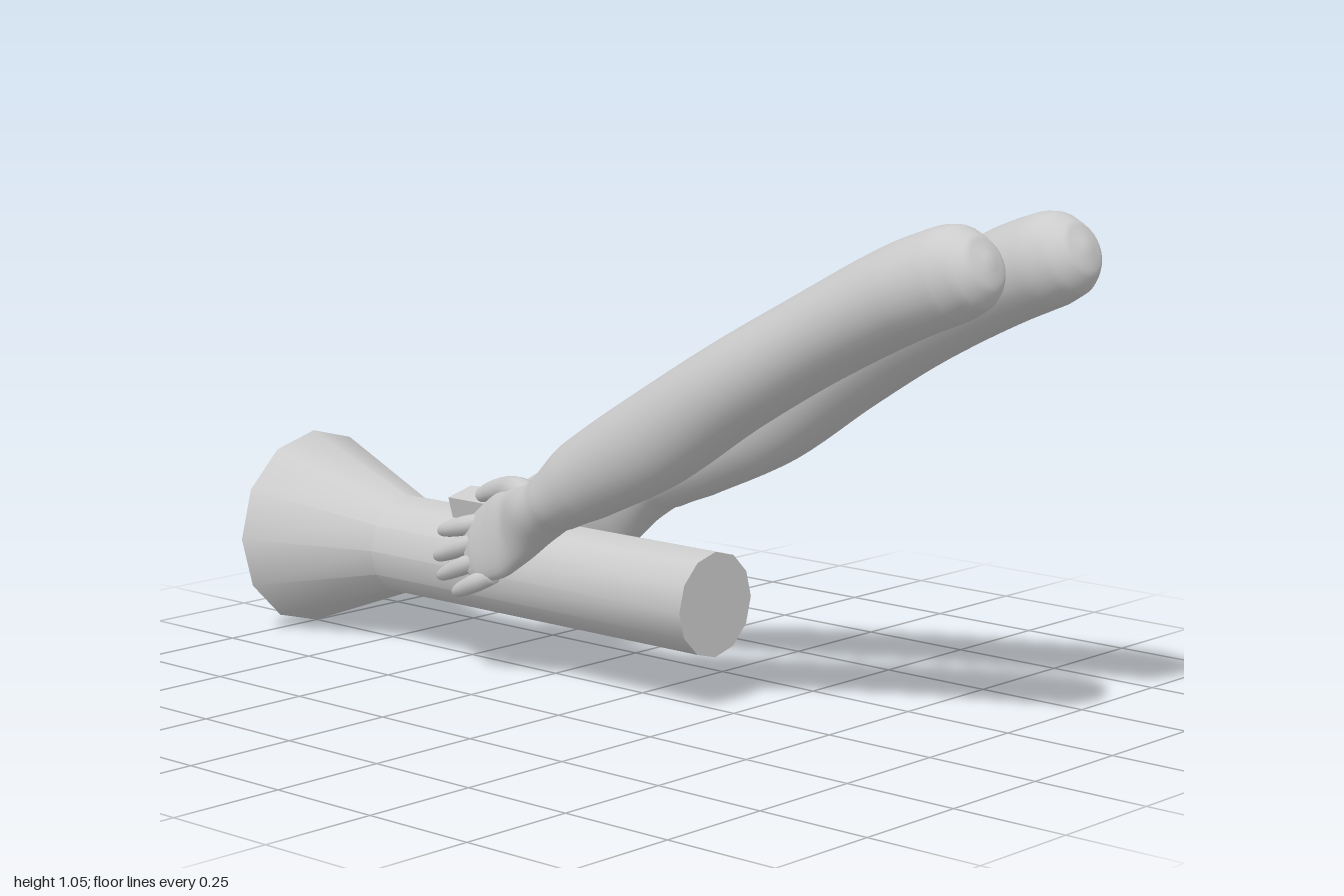
import * as THREE from 'three';
import { toCreasedNormals } from 'three/addons/utils/BufferGeometryUtils.js';

const material = new THREE.MeshStandardMaterial({ color: 0xcccccc });

function addMesh(parent, name, geometry) {
  const mesh = new THREE.Mesh(geometry, material);
  mesh.name = name;
  parent.add(mesh);
}

// Smooth loft through elliptical sections [x, y, z, halfHeight, halfWidth, roll].
// mirror = -1 reflects the result across the z = 0 plane.
function loft(sections, steps, sides, mirror) {
  const path = new THREE.CatmullRomCurve3(sections.map(s => new THREE.Vector3(s[0], s[1], s[2])));
  const size = new THREE.CatmullRomCurve3(sections.map(s => new THREE.Vector3(s[3], s[4], s[5] || 0)));
  const positions = [], indices = [];
  const push = p => positions.push(p.x, p.y, p.z * mirror);
  const tri = (a, b, c) => (mirror > 0 ? indices.push(a, b, c) : indices.push(a, c, b));
  for (let j = 0; j <= steps; j++) {
    const t = j / steps, c = path.getPoint(t), r = size.getPoint(t), T = path.getTangent(t);
    const U = new THREE.Vector3(0, 1, 0).addScaledVector(T, -T.y).normalize().applyAxisAngle(T, r.z);
    const W = new THREE.Vector3().crossVectors(T, U);
    for (let i = 0; i < sides; i++) {
      const a = (i / sides) * Math.PI * 2;
      push(c.clone().addScaledVector(U, Math.cos(a) * r.x).addScaledVector(W, Math.sin(a) * r.y));
    }
  }
  for (let j = 0; j < steps; j++) {
    for (let i = 0; i < sides; i++) {
      const a = j * sides + i, b = j * sides + (i + 1) % sides;
      tri(a, b, a + sides);
      tri(b, b + sides, a + sides);
    }
  }
  // end caps
  const last = steps * sides, c0 = positions.length / 3, c1 = c0 + 1;
  push(path.getPoint(0));
  push(path.getPoint(1));
  for (let i = 0; i < sides; i++) {
    const n = (i + 1) % sides;
    tri(c0, n, i);
    tri(c1, last + i, last + n);
  }
  const geometry = new THREE.BufferGeometry();
  geometry.setAttribute('position', new THREE.Float32BufferAttribute(positions, 3));
  geometry.setIndex(indices);
  geometry.computeVertexNormals();
  return geometry;
}

// Rounded finger from base to tip, slightly bowed outward.
function finger(base, tip, radius, mirror) {
  const at = (t, k) => [
    base[0] + (tip[0] - base[0]) * t,
    base[1] + (tip[1] - base[1]) * t,
    base[2] + (tip[2] - base[2]) * t + 0.008 * Math.sin(Math.PI * t),
    radius * k, radius * k,
  ];
  return loft([at(0, 0.9), at(0.35, 1), at(0.7, 0.85), at(0.9, 0.66), at(0.97, 0.42), at(1, 0.08)], 20, 12, mirror);
}

function buildArm(name, mirror) {
  const arm = new THREE.Group();
  arm.name = name;
  // upper arm, forearm, wrist and palm
  addMesh(arm, 'armAndPalm', loft([
    [0.988, 0.995, 0.15, 0.01, 0.01],
    [0.978, 0.99, 0.15, 0.052, 0.05],
    [0.95, 0.978, 0.15, 0.08, 0.075],
    [0.90, 0.962, 0.15, 0.092, 0.092],
    [0.80, 0.922, 0.155, 0.093, 0.1],
    [0.60, 0.82, 0.16, 0.09, 0.1],
    [0.40, 0.705, 0.173, 0.093, 0.097],
    [0.20, 0.58, 0.175, 0.099, 0.091],
    [0.0, 0.472, 0.166, 0.086, 0.085],
    [-0.08, 0.42, 0.164, 0.067, 0.077],
    [-0.14, 0.384, 0.163, 0.064, 0.064, 0.1],
    [-0.21, 0.345, 0.152, 0.083, 0.043, 0.25],
    [-0.28, 0.31, 0.145, 0.091, 0.032, 0.3],
    [-0.335, 0.282, 0.14, 0.078, 0.024, 0.3],
    [-0.365, 0.267, 0.138, 0.055, 0.015, 0.3],
    [-0.375, 0.262, 0.137, 0.01, 0.004, 0.3],
  ], 90, 28, mirror));
  // four fingers, index to little
  const fingers = [
    ['indexFinger', [-0.33, 0.335, 0.122], [-0.472, 0.295, 0.122], 0.021],
    ['middleFinger', [-0.33, 0.298, 0.135], [-0.482, 0.238, 0.125], 0.021],
    ['ringFinger', [-0.31, 0.265, 0.147], [-0.462, 0.2, 0.135], 0.02],
    ['littleFinger', [-0.27, 0.235, 0.162], [-0.395, 0.178, 0.155], 0.02],
  ];
  for (const [label, base, tip, radius] of fingers) addMesh(arm, label, finger(base, tip, radius, mirror));
  // thumb reaching over toward the button
  addMesh(arm, 'thumb', loft([
    [-0.17, 0.395, 0.145, 0.035, 0.035],
    [-0.24, 0.405, 0.115, 0.034, 0.032],
    [-0.31, 0.4, 0.088, 0.027, 0.024],
    [-0.36, 0.388, 0.077, 0.022, 0.02],
    [-0.395, 0.375, 0.075, 0.015, 0.014],
    [-0.408, 0.37, 0.075, 0.002, 0.002],
  ], 28, 14, mirror));
  return arm;
}

export function createModel() {
  const model = new THREE.Group();
  model.name = 'armsHoldingTorch';
  const axisY = 0.217;

  // twelve-sided tube with flared head and recessed lens
  const profile = [[0, -0.2], [0.109, -0.2], [0.109, 0.7], [0.217, 1], [0.157, 1], [0.15, 0.93], [0, 0.93]];
  const tube = new THREE.LatheGeometry(profile.map(p => new THREE.Vector2(p[0], p[1])), 12);
  tube.rotateZ(Math.PI / 2).translate(0, axisY, 0);
  addMesh(model, 'torchBody', toCreasedNormals(tube, 0.6));

  // raised switch following the top two faces of the tube
  const top = new THREE.Shape([[-0.052, 0.3], [0.052, 0.3], [0.068, 0.356], [0, 0.372], [-0.068, 0.356]]
    .map(p => new THREE.Vector2(p[0], p[1])));
  const button = new THREE.ExtrudeGeometry(top, { depth: 0.18, bevelEnabled: false });
  button.rotateY(Math.PI / 2).translate(-0.5, 0, 0);
  addMesh(model, 'switch', button);

  model.add(buildArm('frontArm', 1), buildArm('backArm', -1));
  return model;
}
